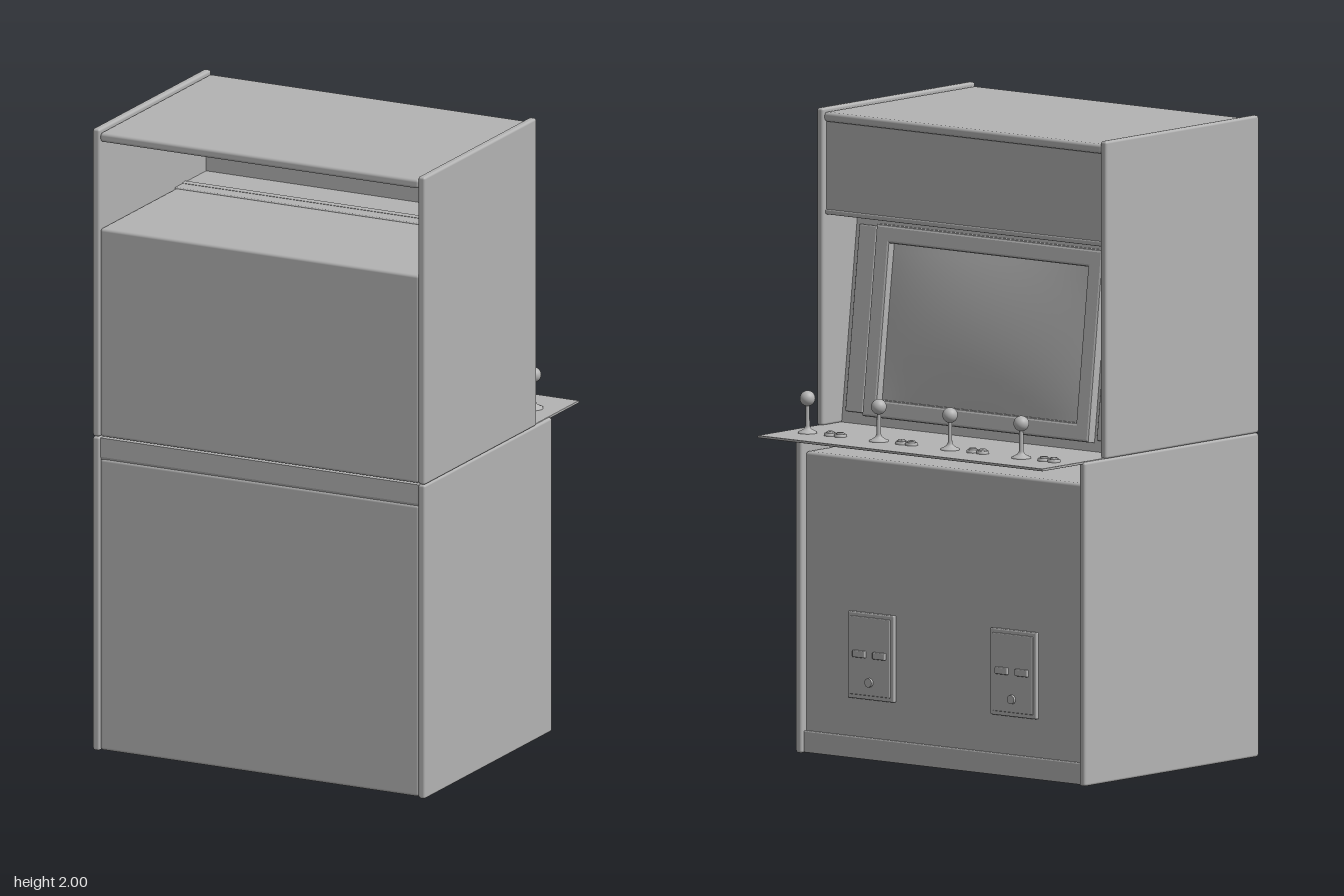
import * as THREE from 'three';
import { RoundedBoxGeometry } from 'three/addons/geometries/RoundedBoxGeometry.js';

const grey = new THREE.MeshStandardMaterial({ color: 0xb3b3b3 });
grey.name = 'cabinet grey';

function add(parent, name, geometry, x = 0, y = 0, z = 0) {
  const mesh = new THREE.Mesh(geometry, grey);
  mesh.name = name;
  mesh.position.set(x, y, z);
  parent.add(mesh);
  return mesh;
}

// Box given by its limits on each axis, with softened edges
function block(parent, name, [x0, x1], [y0, y1], [z0, z1], r = 0.004) {
  const g = r > 0
    ? new RoundedBoxGeometry(x1 - x0, y1 - y0, z1 - z0, 2, r)
    : new THREE.BoxGeometry(x1 - x0, y1 - y0, z1 - z0);
  return add(parent, name, g, (x0 + x1) / 2, (y0 + y1) / 2, (z0 + z1) / 2);
}

function rect(path, w, h) {
  path.moveTo(-w, -h);
  path.lineTo(w, -h);
  path.lineTo(w, h);
  path.lineTo(-w, h);
  path.closePath();
  return path;
}

function lathe(points) {
  return new THREE.LatheGeometry(points.map(([r, y]) => new THREE.Vector2(r, y)), 24);
}

// Tilted monitor: backing, side strips, bezel and bulging glass
function monitor() {
  const g = new THREE.Group();
  g.name = 'monitor';
  block(g, 'monitorBacking', [-0.555, 0.555], [-0.34, 0.345], [-0.02, 0], 0);
  for (const s of [-1, 1]) {
    add(g, 'sideStrip', new RoundedBoxGeometry(0.07, 0.58, 0.012, 2, 0.004), s * 0.503, -0.01, 0.003);
  }
  const shape = rect(new THREE.Shape(), 0.446, 0.29);
  shape.holes.push(rect(new THREE.Path(), 0.405, 0.25));
  add(g, 'bezel', new THREE.ExtrudeGeometry(shape, {
    depth: 0.022, bevelEnabled: true, bevelSize: 0.008, bevelThickness: 0.008, bevelSegments: 2,
  }), 0, -0.01, 0);
  const glass = new THREE.PlaneGeometry(0.82, 0.51, 20, 14);
  const p = glass.attributes.position;
  for (let i = 0; i < p.count; i++) {
    const u = p.getX(i) / 0.41, v = p.getY(i) / 0.255;
    p.setZ(i, 0.004 + 0.024 * (1 - u * u) * (1 - v * v));
  }
  glass.computeVertexNormals();
  add(g, 'screen', glass, 0, -0.01, 0);
  g.position.set(0, 1.345, -0.09);
  g.rotation.set(0.12, Math.PI, 0);
  return g;
}

// One player's stick and two buttons
function controls(x) {
  const g = new THREE.Group();
  g.name = 'playerControls';
  add(g, 'joystickBase', lathe([
    [0.03, 0], [0.03, 0.004], [0.022, 0.007], [0.012, 0.013], [0.007, 0.022], [0.006, 0.1],
  ]));
  add(g, 'joystickBall', new THREE.SphereGeometry(0.024, 24, 16), 0, 0.108, 0);
  for (const bx of [-0.131, -0.091]) {
    add(g, 'button', lathe([
      [0.02, 0], [0.02, 0.006], [0.017, 0.009], [0.014, 0.009], [0.014, 0.006],
      [0.0125, 0.006], [0.0125, 0.012], [0.01, 0.014], [0, 0.014],
    ]), bx, 0, 0);
  }
  g.position.set(x, 1.012, -0.38);
  return g;
}

// Coin door with two slots and a round lock
function coinDoor(x) {
  const g = new THREE.Group();
  g.name = 'coinDoor';
  block(g, 'doorFrame', [-0.0925, 0.0925], [-0.135, 0.135], [-0.012, 0.005], 0.004);
  block(g, 'doorPanel', [-0.08, 0.08], [-0.122, 0.122], [-0.016, 0], 0.003);
  for (const s of [-1, 1]) {
    block(g, 'coinSlot', [s * 0.04 - 0.025, s * 0.04 + 0.025], [-0.005, 0.017], [-0.024, 0], 0.003);
  }
  const lock = add(g, 'lock', new THREE.CylinderGeometry(0.014, 0.014, 0.024, 20), 0, -0.08, -0.013);
  lock.rotation.x = Math.PI / 2;
  g.position.set(x, 0.325, -0.305);
  return g;
}

export function createModel() {
  const root = new THREE.Group();
  root.name = 'arcadeCabinet';

  // Side panels, lower and upper
  for (const s of [-1, 1]) {
    const xs = s > 0 ? [0.555, 0.58] : [-0.58, -0.555];
    block(root, 'lowerSidePanel', xs, [0, 1.01], [-0.325, 0.52], 0.008);
    block(root, 'upperSidePanel', xs, [1.01, 2], [-0.222, 0.52], 0.008);
  }

  // Lower body, kick plate and coin doors
  const inner = [-0.557, 0.557];
  block(root, 'lowerBody', inner, [0.002, 0.94], [-0.305, 0.514], 0.01);
  block(root, 'kickPlate', inner, [0.002, 0.07], [-0.313, -0.29], 0.004);
  for (const x of [-0.285, 0.285]) root.add(coinDoor(x));

  // Upper body, open above its flat top, with roof, marquee and soffit
  block(root, 'upperBody', inner, [1.01, 1.68], [0, 0.514], 0.01);
  block(root, 'roof', inner, [1.958, 1.988], [-0.216, 0.516], 0.01);
  block(root, 'marquee', inner, [1.68, 1.962], [-0.205, -0.185], 0.004);
  block(root, 'soffit', inner, [1.668, 1.684], [-0.208, 0.02], 0.004);
  root.add(monitor());

  // Control shelf: bevelled housing and thin deck
  const side = new THREE.Shape();
  [[0.315, 0.92], [0.495, 0.92], [0.508, 0.93], [0.512, 0.945], [0.512, 1.006], [0.315, 1.006]]
    .forEach(([z, y], i) => (i ? side.lineTo(z, y) : side.moveTo(z, y)));
  const housing = new THREE.ExtrudeGeometry(side, { depth: 1.12, bevelEnabled: false });
  housing.rotateY(Math.PI / 2);
  add(root, 'controlHousing', housing, -0.56, 0, 0);
  root.getObjectByName('controlHousing').geometry.rotateY(Math.PI).translate(1.12, 0, 0);
  block(root, 'controlDeck', [-0.57, 0.57], [1.004, 1.012], [-0.52, -0.2], 0.002);
  block(root, 'innerDeck', inner, [1.004, 1.012], [-0.21, 0.02], 0);
  for (let i = 0; i < 4; i++) root.add(controls(-0.37 + i * 0.285));

  return root;
}
